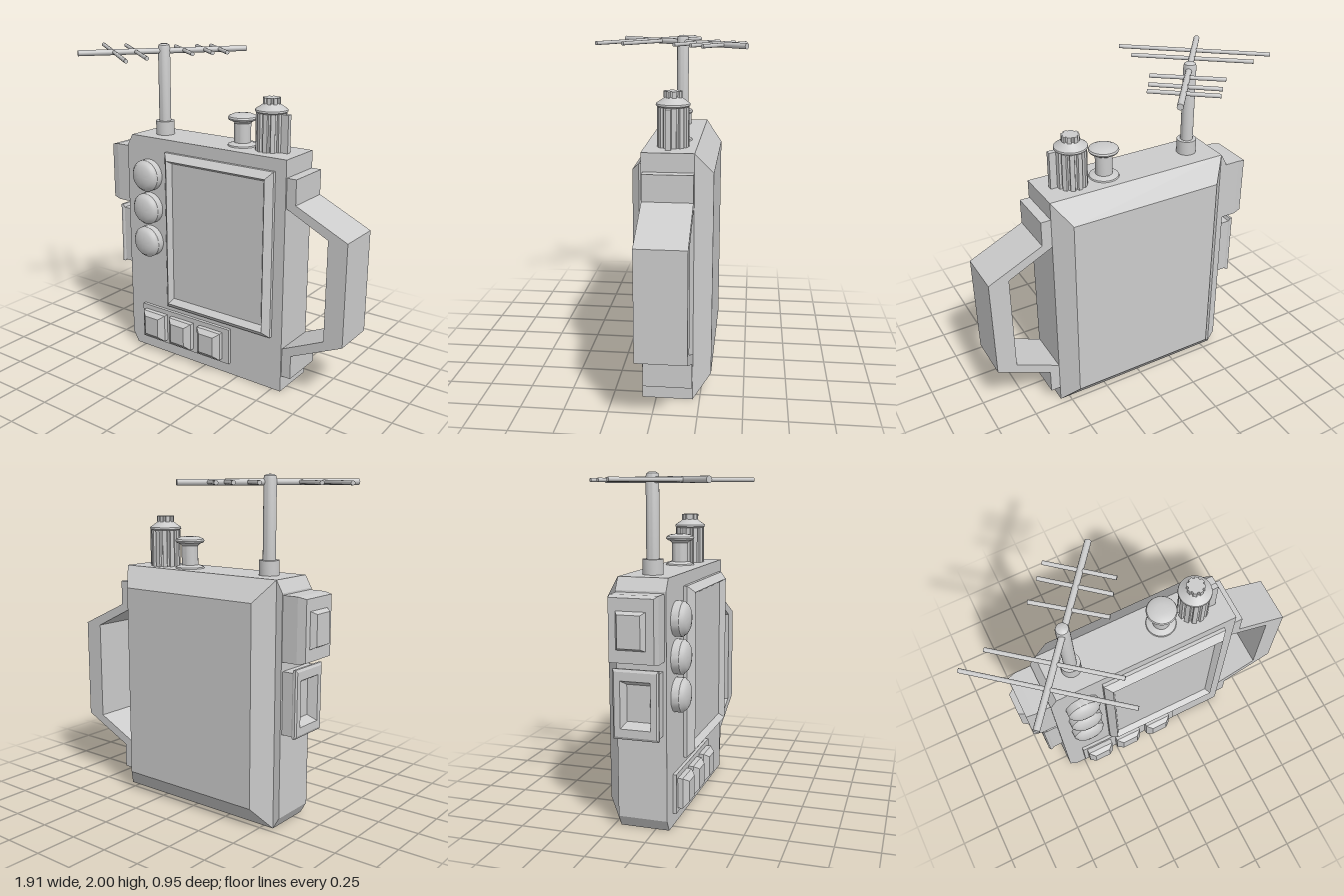
import * as THREE from 'three';
import { toCreasedNormals } from 'three/addons/utils/BufferGeometryUtils.js';

const grey = new THREE.MeshStandardMaterial({ color: 0xcccccc });

// Rectangles [u0, u1, v0, v1, depth] joined in order along +z, closed at both ends.
function rectLoft(sections) {
  const pos = [];
  const ring = ([u0, u1, v0, v1, d]) => [[u0, v0, d], [u1, v0, d], [u1, v1, d], [u0, v1, d]];
  const quad = (a, b, c, d) => [a, b, c, a, c, d].forEach((p) => pos.push(...p));
  const rings = sections.map(ring);
  for (let i = 0; i + 1 < rings.length; i++) {
    for (let k = 0; k < 4; k++) {
      const n = (k + 1) % 4;
      quad(rings[i][k], rings[i][n], rings[i + 1][n], rings[i + 1][k]);
    }
  }
  const s = rings[0], e = rings[rings.length - 1];
  quad(s[3], s[2], s[1], s[0]);
  quad(e[0], e[1], e[2], e[3]);
  const g = new THREE.BufferGeometry();
  g.setAttribute('position', new THREE.Float32BufferAttribute(pos, 3));
  g.computeVertexNormals();
  return g;
}

// Flat outline extruded from z0 to z1.
function prism(points, z0, z1) {
  const shape = new THREE.Shape(points.map((p) => new THREE.Vector2(...p)));
  return new THREE.ExtrudeGeometry(shape, { depth: z1 - z0, bevelEnabled: false }).translate(0, 0, z0);
}

// Turned part around the y axis, profile listed from bottom to top.
function turned(profile, sides = 32) {
  const g = new THREE.LatheGeometry(profile.map((p) => new THREE.Vector2(...p)), sides);
  return toCreasedNormals(g, 0.6);
}

// Ribbed cylinder standing on y = 0.
function fluted(radius, depth, ribs, height) {
  const pts = [];
  for (let i = 0; i < ribs; i++) {
    [[0, 1], [0.55, 1], [0.65, 0], [0.9, 0]].forEach(([t, out]) => {
      const a = ((i + t) / ribs) * Math.PI * 2;
      const r = radius - (out ? 0 : depth);
      pts.push([r * Math.cos(a), r * Math.sin(a)]);
    });
  }
  return prism(pts, 0, height).rotateX(-Math.PI / 2);
}

export function createModel() {
  const model = new THREE.Group();
  const add = (name, geometry, x = 0, y = 0, z = 0) => {
    const mesh = new THREE.Mesh(geometry, grey);
    mesh.name = name;
    mesh.position.set(x, y, z);
    model.add(mesh);
    return mesh;
  };

  // Case with clipped right-hand corners and a bevelled back
  add('case', prism([[-0.565, 0], [0.56, 0], [0.56, 1.44], [-0.565, 1.44], [-0.605, 1.37], [-0.605, 0.07]], -0.21, 0.08));
  add('backCover', rectLoft([[-0.47, 0.47, 0.125, 1.315, -0.31], [-0.565, 0.56, 0, 1.44, -0.21]]));

  // Screen in a bevelled frame
  add('screenFrame', rectLoft([
    [-0.29, 0.49, 0.345, 1.365, 0.07], [-0.29, 0.49, 0.345, 1.365, 0.1],
    [-0.25, 0.455, 0.385, 1.325, 0.14], [-0.23, 0.43, 0.415, 1.305, 0.105],
  ]));

  // Push buttons on their plate
  add('buttonPlate', rectLoft([[-0.495, 0.195, 0.075, 0.31, 0.07], [-0.495, 0.195, 0.075, 0.31, 0.1]]));
  for (const x of [-0.38, -0.168, 0.058]) {
    add('squareButton', rectLoft([
      [-0.088, 0.088, 0.1, 0.28, 0.09], [-0.088, 0.088, 0.1, 0.28, 0.13], [-0.052, 0.052, 0.13, 0.255, 0.16],
    ]), x);
  }

  // Round domed indicators
  for (const y of [1.2, 0.985, 0.765]) {
    const dome = turned([[0.1, 0], [0.1, 0.05], [0.092, 0.056], [0.085, 0.068], [0.065, 0.08], [0.035, 0.087], [0, 0.09]]);
    add('domeIndicator', dome.rotateX(Math.PI / 2), -0.43, y, 0.075);
  }

  // Side modules, lofted outward along -x
  const side = (name, sections) => add(name, rectLoft(sections).rotateY(-Math.PI / 2));
  side('sideSwitchHousing', [
    [-0.205, 0.07, 0.99, 1.36, 0.59], [-0.205, 0.07, 0.99, 1.36, 0.7], [-0.195, 0.06, 1.0, 1.35, 0.75],
  ]);
  side('sideSwitch', [
    [-0.155, 0.015, 1.07, 1.28, 0.74], [-0.155, 0.015, 1.07, 1.28, 0.75], [-0.135, -0.005, 1.085, 1.265, 0.782],
  ]);
  side('sideSocket', [
    [-0.195, 0.06, 0.57, 0.935, 0.59], [-0.195, 0.06, 0.57, 0.935, 0.67], [-0.2, 0.065, 0.56, 0.955, 0.678],
    [-0.2, 0.065, 0.56, 0.955, 0.692], [-0.19, 0.055, 0.575, 0.94, 0.7], [-0.155, 0.02, 0.62, 0.89, 0.7],
    [-0.135, 0, 0.65, 0.86, 0.645],
  ]);

  // Carrying handle
  add('handle', prism([
    [0.555, 0.1], [0.62, 0.1], [0.62, 0.25], [0.95, 0.405], [0.95, 1.03], [0.62, 1.185], [0.62, 1.335], [0.555, 1.335],
    [0.555, 1.16], [0.83, 1.025], [0.83, 0.41], [0.555, 0.28],
  ], -0.21, 0.07));

  // Antenna mast
  add('antennaMast', turned([
    [0.058, 0], [0.058, 0.085], [0.037, 0.085], [0.037, 0.535], [0.033, 0.55], [0.02, 0.558], [0, 0.56],
  ]), -0.41, 1.44, -0.06);

  // Antenna boom and cross rods: x0, z0, x1, z1, radius
  const rods = [
    [-0.735, 0.35, -0.08, -0.465, 0.018],
    [-0.95, -0.1, -0.25, 0.465, 0.012],
    [-0.795, -0.145, -0.24, 0.3, 0.012],
    [-0.5, -0.285, -0.165, -0.025, 0.012],
    [-0.405, -0.385, -0.095, -0.13, 0.012],
    [-0.345, -0.455, -0.04, -0.205, 0.012],
  ];
  rods.forEach(([x0, z0, x1, z1, r], i) => {
    const dir = new THREE.Vector3(x1 - x0, 0, z1 - z0);
    const rod = add(i ? 'antennaRod' : 'antennaBoom', new THREE.CylinderGeometry(r, r, dir.length(), 12),
      (x0 + x1) / 2, 1.955, (z0 + z1) / 2);
    rod.quaternion.setFromUnitVectors(new THREE.Vector3(0, 1, 0), dir.normalize());
  });

  // Mushroom knob
  add('mushroomKnob', turned([
    [0.088, 0], [0.085, 0.008], [0.05, 0.02], [0.05, 0.135], [0.06, 0.145], [0.083, 0.155], [0.088, 0.165],
    [0.083, 0.175], [0.06, 0.186], [0.03, 0.19], [0, 0.191],
  ]), 0.16, 1.44, -0.08);

  // Ribbed dial with collar, cap and pointer fin
  add('dialBody', fluted(0.09, 0.014, 12, 0.22), 0.36, 1.44, -0.075);
  add('dialCollar', turned([
    [0, 0], [0.085, 0], [0.096, 0.008], [0.094, 0.018], [0.055, 0.045], [0.045, 0.055], [0, 0.055],
  ]), 0.36, 1.66, -0.075);
  add('dialCap', fluted(0.052, 0.009, 8, 0.035), 0.36, 1.71, -0.075);
  add('dialFin', new THREE.BoxGeometry(0.08, 0.22, 0.03), 0.45, 1.55, -0.06);

  return model;
}
